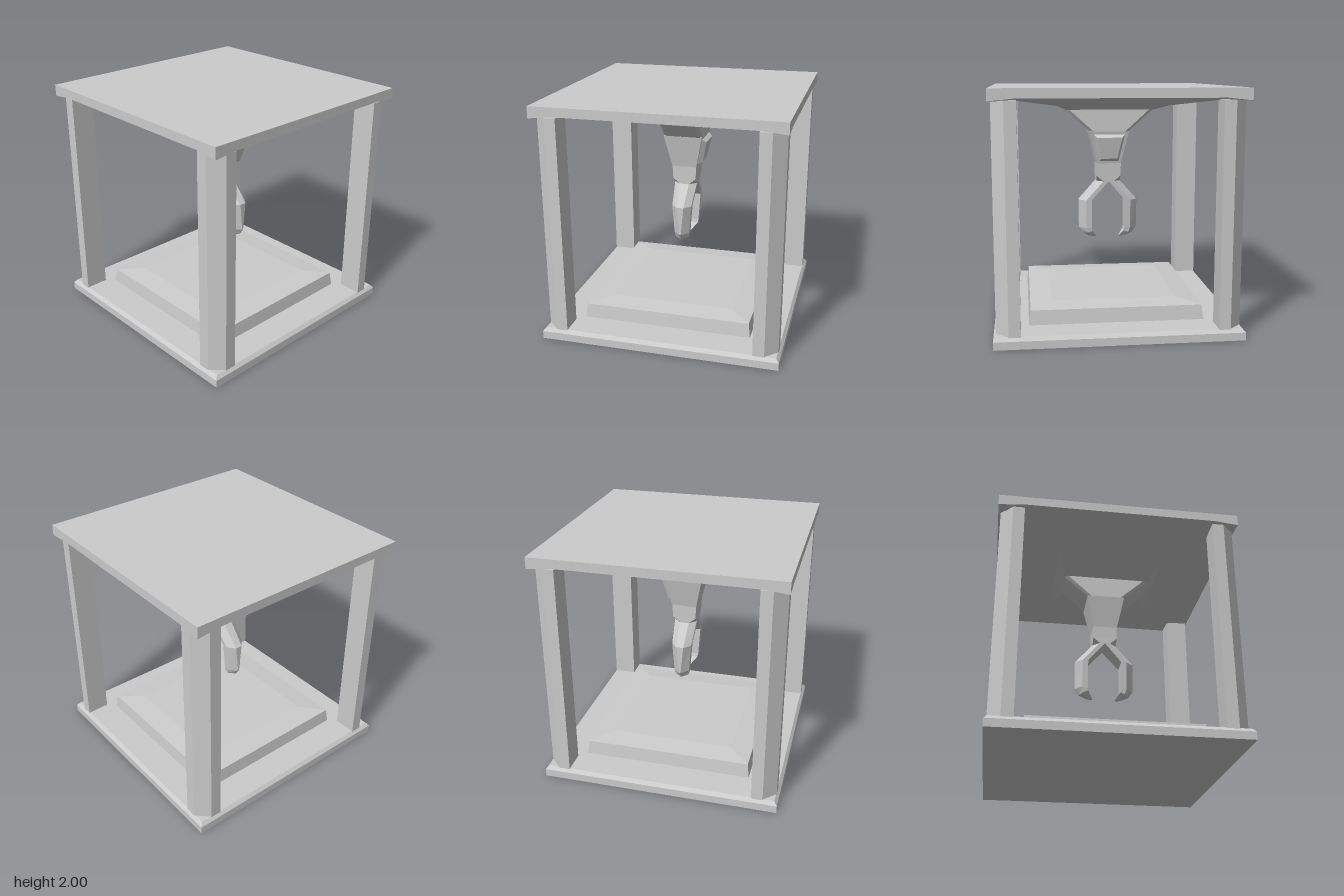
import * as THREE from 'three';

const material = new THREE.MeshStandardMaterial({ color: 0xcccccc, flatShading: true });

// Closed faceted solid through rings of [x, y, z] points, fan-capped at both ends
function loft(name, rings) {
  const tris = [];
  const add = (a, b, c) => {
    const [A, B, C] = [a, b, c].map((p) => new THREE.Vector3(...p));
    const area = B.clone().sub(A).cross(C.clone().sub(A)).length();
    if (area > 1e-7) tris.push([A, B, C]);
  };
  const n = rings[0].length;
  for (let r = 0; r < rings.length - 1; r++) {
    for (let i = 0; i < n; i++) {
      const j = (i + 1) % n;
      const lo = rings[r], hi = rings[r + 1];
      add(lo[i], hi[i], hi[j]);
      add(lo[i], hi[j], lo[j]);
    }
  }
  const first = rings[0], last = rings[rings.length - 1];
  for (let i = 1; i < n - 1; i++) {
    add(first[0], first[i], first[i + 1]);
    add(last[0], last[i + 1], last[i]);
  }
  // Make the faces point outward
  const volume = tris.reduce((s, [a, b, c]) => s + a.dot(b.clone().cross(c)), 0);
  if (volume < 0) tris.forEach((t) => t.reverse());
  const geometry = new THREE.BufferGeometry().setFromPoints(tris.flat());
  geometry.computeVertexNormals();
  const mesh = new THREE.Mesh(geometry, material);
  mesh.name = name;
  return mesh;
}

// Rectangle ring at height y, half sizes x and z
const rect = (y, x, z = x) => [[x, y, z], [x, y, -z], [-x, y, -z], [-x, y, z]];

// Rectangle ring with its corners cut by cx along x and cz along z (8 points)
const cutRect = (y, x, z, cx = 0, cz = cx) => [
  [x, y, z - cz], [x, y, cz - z], [x - cx, y, -z], [cx - x, y, -z],
  [-x, y, cz - z], [-x, y, z - cz], [cx - x, y, z], [x - cx, y, z],
];

// 12-point ring: three points around each corner, the outer two lying at
// distance m along the edges and at height yMid
function cornerRing(x, z, y, m = 1, yMid = y) {
  const ring = [];
  for (const [sx, sz, swap] of [[1, 1, 0], [1, -1, 1], [-1, -1, 0], [-1, 1, 1]]) {
    const a = [sx * x * m, yMid, sz * z], b = [sx * x, y, sz * z], c = [sx * x, yMid, sz * z * m];
    ring.push(...(swap ? [c, b, a] : [a, b, c]));
  }
  return ring;
}

function createFinger(name, side) {
  // Each section: [y, z, half width] of the outer ridge, shoulder and inner edge
  const sections = [
    [[1.17, 0.105, 0.04], [1.17, 0.045, 0.098], [1.17, 0, 0.098]],
    [[1.0, 0.257, 0.03], [1.0, 0.195, 0.085], [1.0, 0.147, 0.085]],
    [[0.75, 0.257, 0.006], [0.75, 0.195, 0.066], [0.75, 0.147, 0.066]],
    [[0.695, 0.22, 0.004], [0.705, 0.18, 0.06], [0.72, 0.14, 0.06]],
    [[0.665, 0.155, 0.003], [0.663, 0.13, 0.012], [0.663, 0.1, 0.012]],
  ];
  return loft(name, sections.map(([o, s, i]) => {
    const half = [o, s, i].map(([y, z, w]) => [w, y, z * side]);
    return [...half, ...half.map(([x, y, z]) => [-x, y, z]).reverse()];
  }));
}

export function createModel() {
  const model = new THREE.Group();
  model.name = 'gantryWithClaw';

  // Base plate with a bevelled rim, and the raised platform
  model.add(loft('basePlate', [rect(0, 1), rect(0.065, 1), rect(0.095, 0.975)]));
  model.add(loft('platform', [rect(0.09, 0.72), rect(0.215, 0.705), rect(0.235, 0.52)]));

  // Roof slab with dropped corners and a shallow faceted ceiling
  model.add(loft('roof', [
    cornerRing(1, 1, 2, 0.8),
    cornerRing(1, 1, 1.905, 0.8, 1.925),
    cornerRing(0.785, 0.785, 1.9),
    cornerRing(0.46, 0.46, 1.845),
    cornerRing(0.2, 0.38, 1.8),
  ]));

  // Corner posts, chamfered on the outer corner
  const section = [[0.785, 0.785], [0.98, 0.785], [0.98, 0.88], [0.88, 0.98], [0.785, 0.98]];
  for (const sx of [-1, 1]) {
    for (const sz of [-1, 1]) {
      const name = (sz > 0 ? 'front' : 'back') + (sx > 0 ? 'Left' : 'Right') + 'Post';
      const ring = (y) => section.map(([x, z]) => [x * sx, y, z * sz]);
      model.add(loft(name, [ring(0.085), ring(1.91)]));
    }
  }

  // Claw: flared mount, tapering wrist, side panel and two fingers
  const claw = new THREE.Group();
  claw.name = 'claw';
  claw.add(loft('mount', [
    cutRect(1.805, 0.167, 0.385, 0.025, 0.035),
    cutRect(1.61, 0.167, 0.165, 0.025, 0.03),
  ]));
  claw.add(loft('wrist', [
    cutRect(1.61, 0.167, 0.167),
    cutRect(1.33, 0.106, 0.106),
    cutRect(1.22, 0.1, 0.105),
    cutRect(1.17, 0.098, 0.105, 0.058, 0.06),
  ]));
  const panelRing = (xTop, yTop, zTop, xLow, yLow, zLow) =>
    [[xTop, yTop, zTop], [xTop, yTop, -zTop], [xLow, yLow, -zLow], [xLow, yLow, zLow]];
  claw.add(loft('sidePanel', [
    panelRing(0.13, 1.585, 0.135, 0.08, 1.35, 0.085),
    panelRing(0.163, 1.585, 0.135, 0.11, 1.35, 0.085),
    panelRing(0.195, 1.56, 0.108, 0.155, 1.375, 0.068),
  ]));
  claw.add(createFinger('frontFinger', 1), createFinger('backFinger', -1));
  model.add(claw);

  return model;
}
